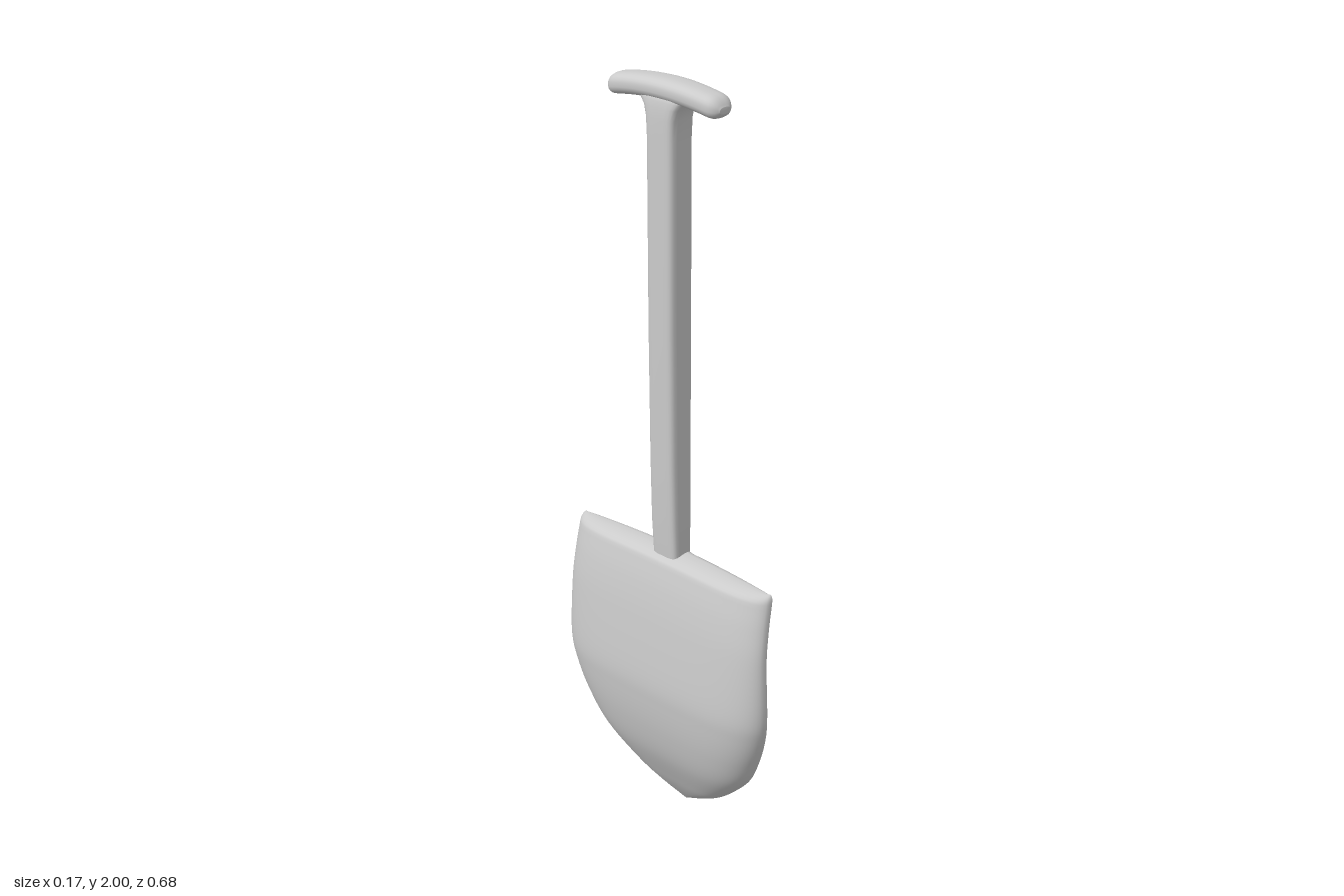
import * as THREE from 'three';

const { smoothstep, lerp } = THREE.MathUtils;
const material = new THREE.MeshStandardMaterial({ color: 0xcccccc });

// Smooth closed skin over equal-length rings of points
function loft(name, rings, capStart, capEnd) {
  const n = rings[0].length;
  const points = rings.flat();
  const index = [];
  for (let r = 0; r < rings.length - 1; r++) {
    for (let i = 0; i < n; i++) {
      const a = r * n + i, b = r * n + (i + 1) % n;
      index.push(a, b, a + n, b, b + n, a + n);
    }
  }
  const cap = (r, flip) => {
    const centre = new THREE.Vector3();
    rings[r].forEach(p => centre.addScaledVector(p, 1 / n));
    const c = points.push(centre) - 1;
    for (let i = 0; i < n; i++) {
      const a = r * n + i, b = r * n + (i + 1) % n;
      index.push(c, flip ? b : a, flip ? a : b);
    }
  };
  if (capStart) cap(0, true);
  if (capEnd) cap(rings.length - 1, false);

  // Turn all faces outward using the sign of the enclosed volume
  let volume = 0;
  const cross = new THREE.Vector3();
  for (let i = 0; i < index.length; i += 3) {
    cross.crossVectors(points[index[i + 1]], points[index[i + 2]]);
    volume += points[index[i]].dot(cross);
  }
  if (volume < 0) index.reverse();

  const geometry = new THREE.BufferGeometry().setFromPoints(points);
  geometry.setIndex(index);
  geometry.computeVertexNormals();
  const mesh = new THREE.Mesh(geometry, material);
  mesh.name = name;
  return mesh;
}

// Rounded-square outline with half sizes a and b
function roundedSquare(a, b, place, power = 0.42) {
  return Array.from({ length: 24 }, (_, i) => {
    const t = (i + 0.5) / 24 * Math.PI * 2;
    const c = Math.cos(t), s = Math.sin(t);
    return place(a * Math.sign(c) * Math.abs(c) ** power, b * Math.sign(s) * Math.abs(s) ** power);
  });
}

// Dished blade: flat back with rounded sides, raised rim, thick top lip and socket rib
function makeBlade() {
  // height, half width, x of the back along the middle, x of the side rim
  const stations = [
    [0.003, 0.01, 0.06, 0.083], [0.05, 0.095, 0.028, 0.067], [0.1, 0.165, 0.0, 0.052],
    [0.19, 0.25, -0.042, 0.032], [0.28, 0.298, -0.067, 0.015], [0.37, 0.329, -0.081, 0.001],
    [0.45, 0.34, -0.085, -0.007], [0.6, 0.335, -0.073, -0.009], [0.69, 0.331, -0.06, 0.001],
    [0.76, 0.328, -0.044, 0.014],
  ];
  const curve = k => new THREE.CatmullRomCurve3(
    stations.map(s => new THREE.Vector3(s[0], s[k], s[k + 1] ?? 0)), false, 'catmullrom');
  const shape = curve(1), rimLine = curve(3);
  const half = 30;

  // roll runs from 1 to 0 as the top edge closes
  const section = (w, y, back, rim, roll) => {
    const dished = lerp(rim, back + 0.04, smoothstep(y, -0.08, 0.34));
    const centre = lerp(dished, 0.036, smoothstep(y, 0.58, 0.79));
    const front = [], rear = [];
    for (let i = -half; i <= half; i++) {
      const u = Math.abs(i) / half, s = u * u * (3 - 2 * u), z = Math.sign(i) * s * w;
      const round = 0.008 * smoothstep(y, 0, 0.1);
      const dish = lerp(centre, rim + round, s ** 2.3) - round * s ** 14;
      const edge = rim - 0.004;
      const rearX = lerp(edge, back, Math.sqrt(Math.max(0, 1 - s ** 4.5)));
      const py = y + 0.012 * (1 - s * s) * smoothstep(y, 0.55, 0.78);
      const rib = (1 - smoothstep(Math.abs(z), 0.016, 0.06)) * smoothstep(y, 0.39, 0.46);
      const ribX = 0.044 - (0.78 - y) * 0.14;
      const frontX = lerp(dish, Math.max(ribX, dish), rib);
      const close = lerp(rearX, frontX, 0.7);
      front.push(new THREE.Vector3(lerp(close, frontX, roll), py, z));
      if (Math.abs(i) < half) rear.unshift(new THREE.Vector3(lerp(close, rearX, roll), py, z));
    }
    return [...front, ...rear];
  };

  const rings = [];
  for (let i = 0; i <= 60; i++) {
    const p = shape.getPoint(i / 60);
    rings.push(section(p.y, p.x, p.z, rimLine.getPoint(i / 60).y, 1));
  }
  for (const angle of [0.3, 0.6, 0.9, 1.2, 1.4, Math.PI / 2]) {
    const roll = angle > 1.5 ? 0 : Math.cos(angle), lift = Math.sin(angle);
    rings.push(section(0.328 - 0.008 * (1 - roll), 0.76 + 0.022 * lift, -0.044 + 0.005 * lift, 0.014 + 0.004 * lift, roll));
  }
  return loft('blade', rings, true, false);
}

// Shaft, slightly bowed at the back and flared under the grip
function makeShaft() {
  const stations = [ // height, back x, front x, half depth
    [0.72, -0.024, 0.033, 0.036], [0.79, -0.028, 0.038, 0.041], [0.88, -0.034, 0.038, 0.042],
    [1.05, -0.039, 0.038, 0.042], [1.4, -0.044, 0.038, 0.042], [1.86, -0.046, 0.037, 0.042],
    [1.91, -0.046, 0.037, 0.045], [1.935, -0.044, 0.036, 0.053], [1.95, -0.042, 0.034, 0.066],
    [1.965, -0.038, 0.03, 0.08],
  ];
  return loft('shaft', stations.map(([y, x0, x1, d]) =>
    roundedSquare((x1 - x0) / 2, d, (a, b) => new THREE.Vector3((x0 + x1) / 2 + a, y, b + 0.001))), true, true);
}

// Drooping crossbar grip with rounded ends
function makeGrip() {
  const rings = [];
  const steps = 32;
  for (let i = 0; i <= steps; i++) {
    const u = -Math.cos(i / steps * Math.PI), z = u * 0.173;
    const end = Math.max(0, (Math.abs(z) - 0.145) / 0.028);
    const size = Math.max(0.3, Math.sqrt(Math.max(0, 1 - end * end)));
    const y = 1.974 - 0.019 * u * u;
    const width = lerp(0.042, 0.036, u * u) * lerp(1, size, 0.75);
    rings.push(roundedSquare(width, 0.026 * size, (a, b) => new THREE.Vector3(-0.004 + a, y + b, z - 0.002), 0.78));
  }
  return loft('grip', rings, true, true);
}

export function createModel() {
  const model = new THREE.Group();
  model.name = 'shovel';
  model.add(makeBlade(), makeShaft(), makeGrip());
  return model;
}
